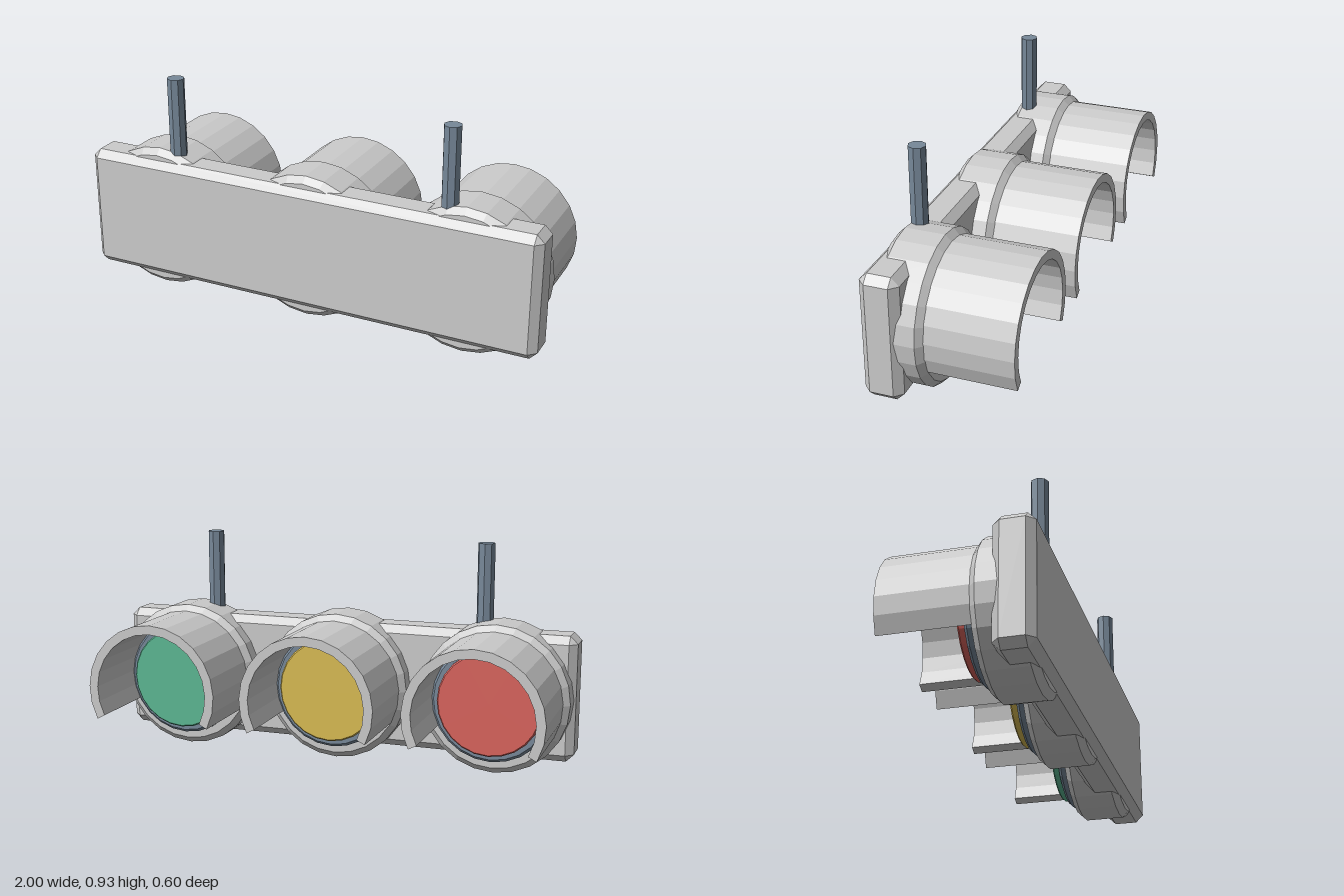
import * as THREE from 'three';
import { ConvexGeometry } from 'three/addons/geometries/ConvexGeometry.js';

const paint = (color) => new THREE.MeshStandardMaterial({ color, flatShading: true });

// Box with every edge chamfered by c
function chamferBox(w, h, d, c) {
  const pts = [];
  for (const sx of [-1, 1]) for (const sy of [-1, 1]) for (const sz of [-1, 1]) {
    for (let cut = 0; cut < 3; cut++) {
      const p = [w / 2, h / 2, d / 2].map((v, i) => (i === cut ? v : v - c));
      pts.push(new THREE.Vector3(sx * p[0], sy * p[1], sz * p[2]));
    }
  }
  return new ConvexGeometry(pts);
}

// Chamfered disc along z, from z0 (back) to z1 (front)
function disc(r, z0, z1, c, sides) {
  const profile = [[0, z0], [r - c, z0], [r, z0 + c], [r, z1 - c], [r - c, z1], [0, z1]]
    .map(([x, y]) => new THREE.Vector2(x, y));
  return new THREE.LatheGeometry(profile, sides).rotateX(Math.PI / 2);
}

// Hood open at the bottom
function hood(outer, inner, z0, z1) {
  const a = -0.482, b = Math.PI - a;
  const shape = new THREE.Shape();
  shape.absarc(0, 0, outer, a, b, false);
  shape.absarc(0, 0, inner, b, a, true);
  shape.closePath();
  return new THREE.ExtrudeGeometry(shape, { depth: z1 - z0, bevelEnabled: false, curveSegments: 8 })
    .translate(0, 0, z0);
}

export function createModel() {
  const model = new THREE.Group();
  const grey = paint(0xcccccc);
  const slate = paint(0x778899);

  const add = (parent, name, geometry, material) => {
    const mesh = new THREE.Mesh(geometry, material);
    mesh.name = name;
    parent.add(mesh);
    return mesh;
  };

  // Flat housing plate
  add(model, 'housing', chamferBox(2, 0.525, 0.16, 0.032), grey).position.set(0, 0.3125, 0.219);

  // Three lamps facing the back
  const lamps = [['redLamp', -0.683, 0xd9635c], ['yellowLamp', 0, 0xd9bb52], ['greenLamp', 0.683, 0x5cb893]];
  for (const [name, x, color] of lamps) {
    const lamp = new THREE.Group();
    lamp.name = name;
    lamp.position.set(x, 0.31, 0);
    add(lamp, 'lampBody', disc(0.31, 0.055, 0.27, 0.026, 24), grey);
    add(lamp, 'lensRing', disc(0.25, 0.016, 0.06, 0.012, 24), slate);
    add(lamp, 'lens', disc(0.217, -0.017, 0.02, 0.006, 24), paint(color));
    add(lamp, 'visor', hood(0.285, 0.247, -0.297, 0.065), grey);
    model.add(lamp);
  }

  // Hanging rods
  for (const side of [-1, 1]) {
    add(model, side < 0 ? 'rightRod' : 'leftRod', new THREE.CylinderGeometry(0.036, 0.036, 0.43, 8), slate)
      .position.set(side * 0.605, 0.715, 0.218);
  }
  return model;
}
